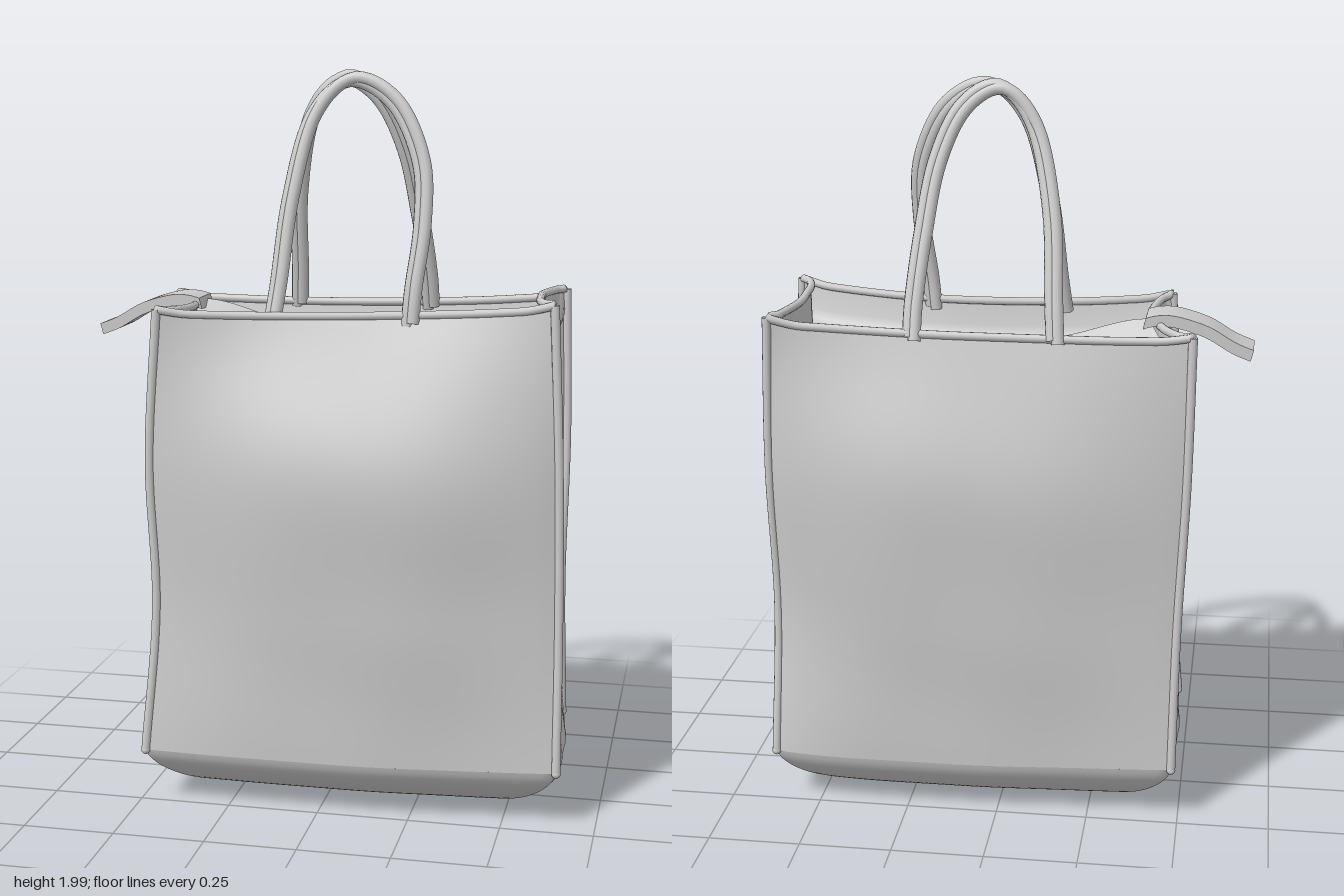
import * as THREE from 'three';

const V = (x, y, z) => new THREE.Vector3(x, y, z);
const spline = (pts, closed = false) => new THREE.CatmullRomCurve3(pts, closed, 'catmullrom');
const material = new THREE.MeshStandardMaterial({ color: 0xcccccc, roughness: 0.9, side: THREE.DoubleSide });

// Smooth surface from a function of (u, v)
function surface(name, nu, nv, point) {
  const pos = [], idx = [];
  for (let j = 0; j <= nv; j++) {
    for (let i = 0; i <= nu; i++) pos.push(...point(i / nu, j / nv).toArray());
  }
  for (let j = 0; j < nv; j++) {
    for (let i = 0; i < nu; i++) {
      const a = j * (nu + 1) + i, b = a + 1, c = a + nu + 1, d = c + 1;
      idx.push(a, b, d, a, d, c);
    }
  }
  const g = new THREE.BufferGeometry();
  g.setAttribute('position', new THREE.Float32BufferAttribute(pos, 3));
  g.setIndex(idx);
  g.computeVertexNormals();
  return named(name, g);
}

function named(name, geometry) {
  const m = new THREE.Mesh(geometry, material);
  m.name = name;
  return m;
}

const tube = (name, curve, r, n = 60, closed = false) =>
  named(name, new THREE.TubeGeometry(curve, n, r, 10, closed));

// Corner edges from base seam to rim
const corner = (top, ...xz) => spline(xz.map(([x, z], i) => V(x, 0.16 + (top - 0.16) * i / 3, z)));
const FL = corner(1.375, [-0.475, 0.283], [-0.445, 0.255], [-0.455, 0.262], [-0.43, 0.258]);
const FR = corner(1.405, [0.645, 0.228], [0.64, 0.2], [0.63, 0.19], [0.61, 0.185]);
const BR = corner(1.395, [0.615, -0.268], [0.607, -0.22], [0.61, -0.25], [0.6, -0.258]);
const BL = corner(1.365, [-0.48, -0.245], [-0.485, -0.225], [-0.5, -0.215], [-0.505, -0.21]);

// Panels in order round the bag: edges, outward direction, bulge by height, rim dip,
// skew (shifts the fullest point along the panel), power (low = flat middle, steep edges)
const panels = [
  { name: 'frontPanel', a: FL, b: FR, out: V(0, 0, 1), bulge: [0.03, 0.085, 0.1, -0.06], dip: 0.03, skew: 1.1, power: 0.85 },
  { name: 'leftGusset', a: FR, b: BR, out: V(1, 0, 0), bulge: [0.015, -0.03, -0.045, -0.055], dip: 0, skew: 1, power: 0.5 },
  { name: 'backPanel', a: BR, b: BL, out: V(0, 0, -1), bulge: [0.03, 0.09, 0.085, -0.025], dip: 0.03, skew: 0.75, power: 0.85 },
  { name: 'rightGusset', a: BL, b: FL, out: V(-1, 0, 0), bulge: [0.01, -0.035, -0.055, -0.08], dip: 0.01, skew: 1, power: 0.65 },
].map(p => ({ ...p, amount: spline(p.bulge.map(b => V(b, 0, 0))) }));

function panelPoint(p, u, v) {
  const q = p.a.getPoint(v).lerp(p.b.getPoint(v), u);
  const s = Math.max(0, Math.sin(Math.PI * u ** p.skew)) ** p.power;
  const wrinkle = 0.004 * s * Math.sin(9 * u + 7 * v) * Math.cos(11 * v - 5 * u);
  q.addScaledVector(p.out, p.amount.getPoint(v).x * s + wrinkle);
  q.y -= p.dip * Math.sqrt(s) * v ** 6;
  return q;
}

// Point on the closed loop of all four panels at height v
function ring(s, v) {
  const k = Math.min(3, Math.floor(s * 4));
  return panelPoint(panels[k], s * 4 - k, v);
}

function createModel() {
  const bag = new THREE.Group();
  bag.name = 'toteBag';

  for (const p of panels) bag.add(surface(p.name, 36, 40, (u, v) => panelPoint(p, u, v)));

  // Rounded, sagging base
  bag.add(surface('base', 128, 20, (s, t) => {
    const q = ring(s, 0);
    if (t > 0.8) {
      const k = (1 - t) / 0.2;
      return V(0.07 + (q.x - 0.07) * 0.58 * k, 0.003 + 0.007 * k, -0.02 + q.z * 0.2 * k);
    }
    const a = t / 0.8 * Math.PI / 2, f = (1 - Math.cos(a)) ** 0.75;
    return V(q.x + (0.07 - q.x) * 0.42 * f, 0.01 + (q.y - 0.01) * (1 - Math.sin(a)), q.z * (1 - 0.8 * f) - 0.02 * f);
  }));

  // Sunken closure rising to a soft central ridge
  const ridgeY = x => 1.31 + 0.06 * THREE.MathUtils.smoothstep(-x, 0.1, 0.38);
  bag.add(surface('topClosure', 128, 16, (s, f) => {
    const q = ring(s, 1);
    const x = THREE.MathUtils.clamp(q.x, -0.38, 0.52);
    const r = q.clone().lerp(V(x, ridgeY(x), -0.035), f);
    r.y -= 0.09 * Math.sin(Math.PI * Math.sqrt(f));
    return r;
  }));

  // Piped seams along the corners and rim
  for (const c of [FL, FR, BR, BL]) {
    bag.add(tube('cornerSeam', c, 0.012));
    const tip = named('cornerTip', new THREE.SphereGeometry(0.0125, 12, 8));
    tip.position.copy(c.getPoint(0));
    bag.add(tip);
  }
  const rim = Array.from({ length: 64 }, (_, i) => ring(i / 64, 1));
  bag.add(tube('rimSeam', spline(rim, true), 0.011, 192, true));

  // Flat zip tail hanging over the right edge
  const tail = new THREE.SplineCurve([[-0.375, 1.38], [-0.41, 1.388], [-0.46, 1.386], [-0.54, 1.362], [-0.61, 1.322], [-0.66, 1.302]]
    .map(([x, y]) => new THREE.Vector2(x, y))).getPoints(30);
  const outline = [...tail, ...tail.map(p => new THREE.Vector2(p.x + 0.008, p.y - 0.03)).reverse()];
  const tailGeo = new THREE.ExtrudeGeometry(new THREE.Shape(outline), { depth: 0.115, bevelEnabled: false });
  tailGeo.translate(0, 0, -0.073);
  bag.add(named('zipTail', tailGeo));

  // Handles, each a pair of cords pressed side by side
  const handles = {
    frontHandle: [[-0.135, 1.34, 0.178], [-0.122, 1.45, 0.152], [-0.1, 1.66, 0.11], [-0.05, 1.87, 0.065], [0.05, 1.968, 0.047],
      [0.17, 1.91, 0.058], [0.245, 1.76, 0.09], [0.255, 1.6, 0.122], [0.238, 1.44, 0.15], [0.23, 1.34, 0.158]],
    backHandle: [[-0.15, 1.34, -0.212], [-0.143, 1.45, -0.185], [-0.13, 1.66, -0.125], [-0.08, 1.87, -0.06], [0.01, 1.972, -0.042],
      [0.11, 1.92, -0.05], [0.175, 1.78, -0.085], [0.205, 1.6, -0.14], [0.222, 1.44, -0.19], [0.225, 1.34, -0.22]],
  };
  for (const [name, pts] of Object.entries(handles)) {
    const handle = new THREE.Group();
    handle.name = name;
    for (const d of [-0.008, 0.008]) {
      const path = spline(pts.map(([x, y, z]) => V(x + d, y + d * 0.5, z + d * 0.4)));
      handle.add(tube('handleCord', path, 0.017, 80));
    }
    bag.add(handle);
  }
  return bag;
}

export { createModel };
